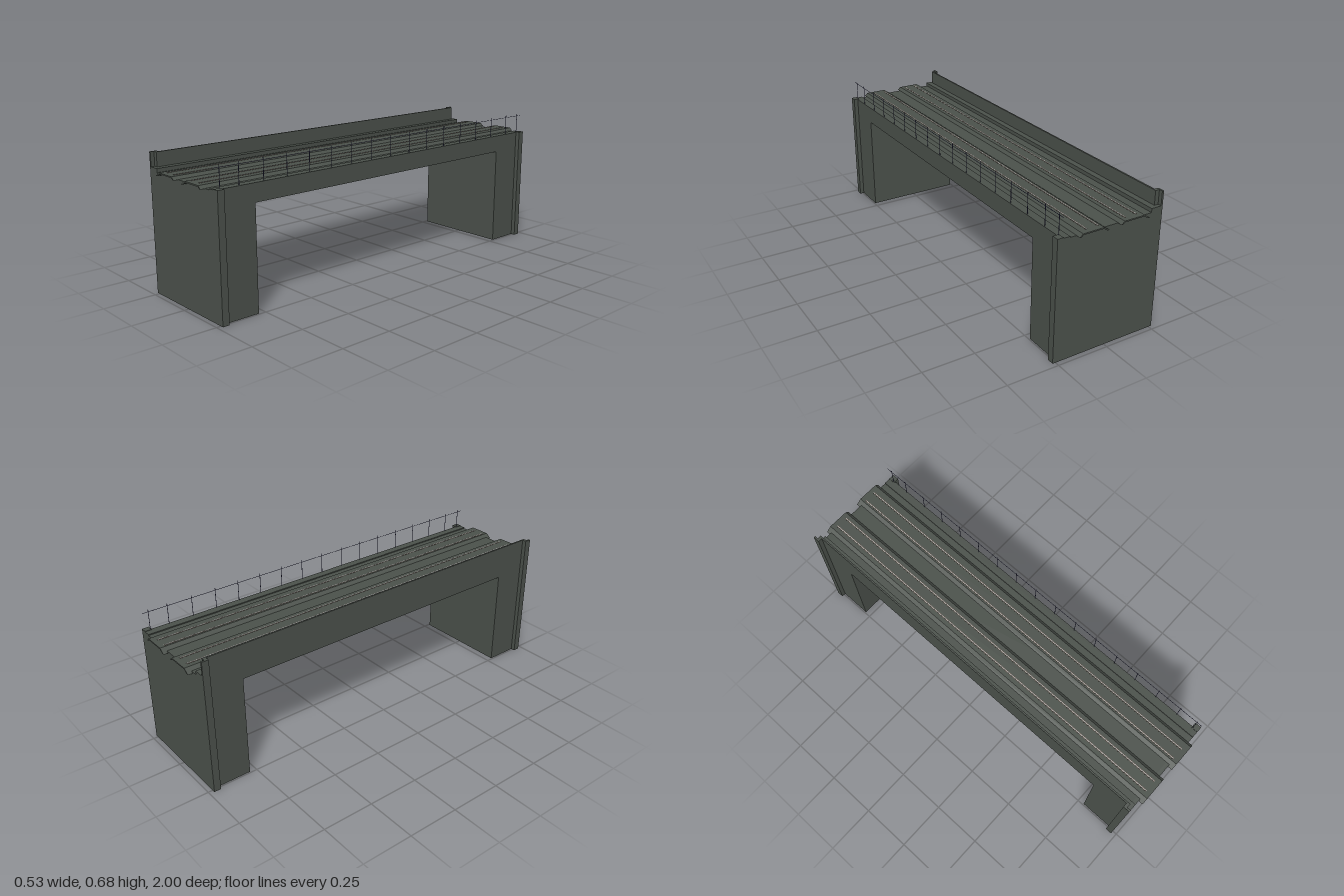
import * as THREE from 'three';

const mat = (name, color) => {
  const m = new THREE.MeshStandardMaterial({ color });
  m.name = name;
  return m;
};

export function createModel() {
  const group = new THREE.Group();
  const concrete = mat('concrete', 0x4b514b);
  const rust = mat('rustyRail', 0x54483e);
  const paint = mat('bluePaint', 0x3a3a5c);
  const polished = mat('polishedRail', 0xb8b8b6);

  const add = (name, geometry, material) => {
    const mesh = new THREE.Mesh(geometry, material);
    mesh.name = name;
    group.add(mesh);
    return mesh;
  };
  // box from its lower and upper bounds
  const box = (name, material, x0, x1, y0, y1, z0, z1) => {
    const g = new THREE.BoxGeometry(x1 - x0, y1 - y0, z1 - z0);
    g.translate((x0 + x1) / 2, (y0 + y1) / 2, (z0 + z1) / 2);
    return add(name, g, material);
  };
  const toPoints = (list) => list.map(([x, y]) => new THREE.Vector2(x, y));
  // cross-section in x and y, run along z
  const run = (name, material, profile, halfLength) => {
    const g = new THREE.ExtrudeGeometry(new THREE.Shape(toPoints(profile)),
      { depth: 2 * halfLength, bevelEnabled: false });
    g.translate(0, 0, -halfLength);
    return add(name, g, material);
  };

  const END = 0.978, BODY = 0.244, PIER = 0.265, UNDER = 0.49, INNER = 0.782;

  // deck with kerbs and the parapet on one side
  run('deck', concrete, [
    [-BODY, UNDER], [BODY, UNDER], [BODY, 0.575], [0.205, 0.575], [0.205, 0.57],
    [-0.207, 0.57], [-0.207, 0.588], [-0.236, 0.588], [-0.236, 0.655], [-BODY, 0.655],
  ], 0.96);
  // lower ends of the deck, reaching past the parapet
  for (const s of [-1, 1]) {
    const z0 = s > 0 ? 0.96 : -END, z1 = s > 0 ? END : -0.96;
    box('deckEnd', concrete, -BODY, BODY, UNDER, 0.57, z0, z1);
    box('kerbEnd', concrete, -BODY, -0.207, 0.57, 0.588, z0, z1);
    box('ledgeEnd', concrete, 0.205, BODY, 0.57, 0.575, z0, z1);
  }

  // hollow abutments, open underneath, with a wider outer end
  const plan = (t) => toPoints([
    [-BODY + t, -INNER - t], [-BODY + t, -0.945 - t], [-PIER + t, -0.945 - t], [-PIER + t, -END + t],
    [PIER - t, -END + t], [PIER - t, -0.945 - t], [BODY - t, -0.945 - t], [BODY - t, -INNER - t],
  ]);
  for (const turn of [0, Math.PI]) {
    const shape = new THREE.Shape(plan(0));
    shape.holes.push(new THREE.Path(plan(0.003)));
    const g = new THREE.ExtrudeGeometry(shape, { depth: UNDER, bevelEnabled: false });
    g.rotateX(-Math.PI / 2);
    add('abutment', g, concrete).rotation.y = turn;
  }

  // pilaster heads at the four corners, the tall ones stepped back inside
  for (const s of [-1, 1]) {
    const span = (a, b) => (s > 0 ? [a, b] : [-b, -a]);
    box('tallPilaster', concrete, -PIER, -0.256, UNDER, 0.655, ...span(0.945, END));
    box('tallPilasterStep', concrete, -0.256, -0.236, 0.588, 0.655, ...span(0.945, 0.96));
    box('tallPilasterBase', concrete, -0.256, -BODY, UNDER, 0.588, ...span(0.945, END));
    box('lowPilaster', concrete, 0.236, PIER, UNDER, 0.578, ...span(0.945, END));
  }

  // two raised track beds, bent from thin plate
  for (const x of [0, 0.207]) {
    run('trackBed', concrete, [
      [x - 0.18, 0.563], [x - 0.166, 0.566], [x - 0.15, 0.577], [x - 0.05, 0.577],
      [x - 0.04, 0.569], [x - 0.032, 0.569], [x - 0.047, 0.583], [x - 0.152, 0.583],
    ], 1);
  }

  // rails: rusty foot with a worn bright head
  for (const x of [-0.127, -0.07, 0.067, 0.125]) {
    box('railFoot', rust, x - 0.0045, x + 0.0045, 0.582, 0.5836, -0.975, 0.975);
    box('railHead', polished, x - 0.0018, x + 0.0018, 0.5836, 0.5848, -0.975, 0.975);
  }

  // slender railing on the open side, end posts set closer
  box('handrail', paint, 0.2392, 0.2408, 0.6632, 0.6648, -0.978, 0.978);
  for (let i = -8; i <= 8; i++) {
    const z = THREE.MathUtils.clamp(i * 0.1225, -0.95, 0.95);
    box('railingPost', paint, 0.239, 0.241, 0.574, 0.675, z - 0.001, z + 0.001);
  }
  return group;
}
